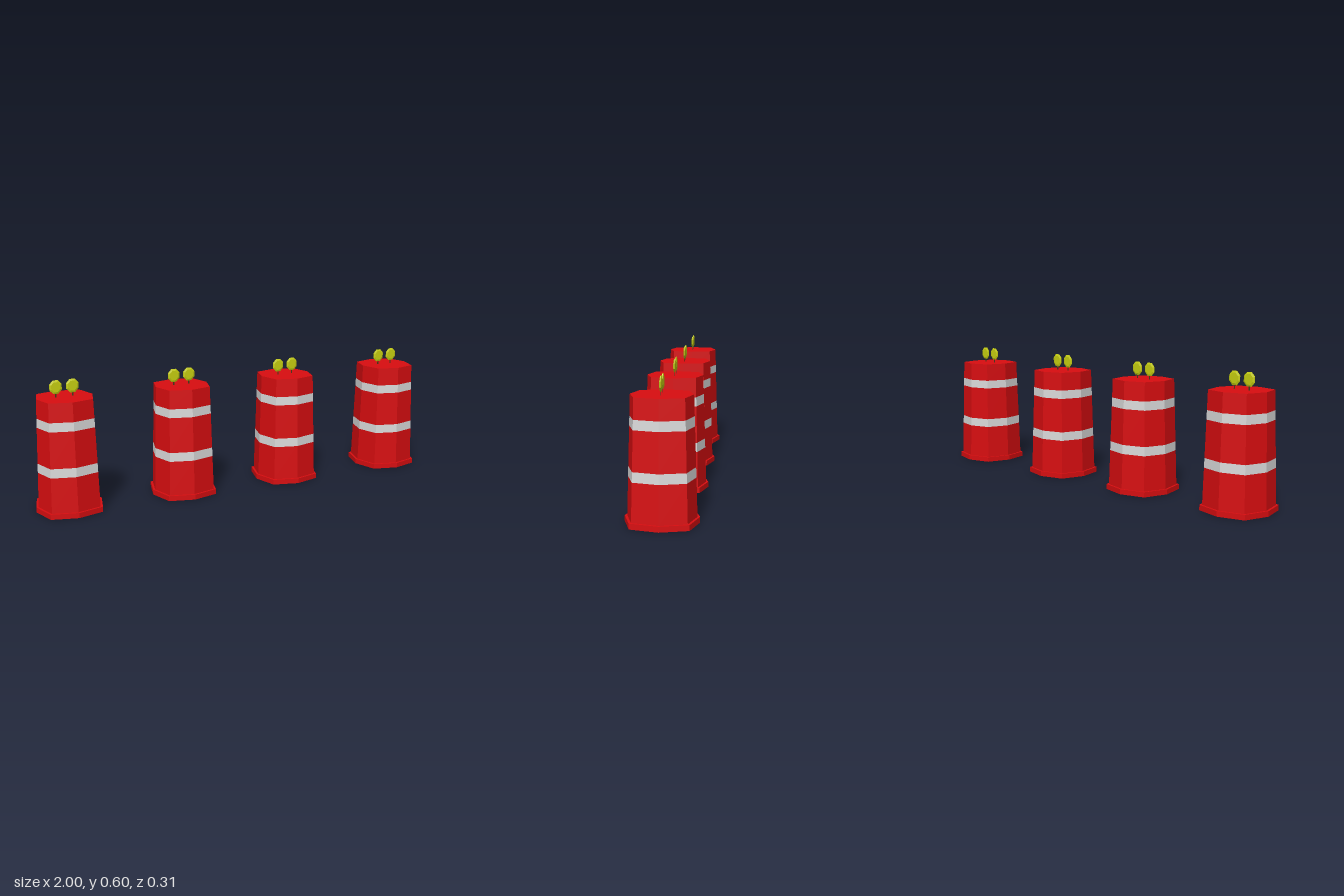
import * as THREE from 'three';

const mat = (name, color) => {
  const m = new THREE.MeshStandardMaterial({ color, flatShading: true });
  m.name = name;
  return m;
};

// Eight-sided frustum whose diagonal corners are pushed out slightly
function octagon(rTop, rBottom, y0, y1, open) {
  const g = new THREE.CylinderGeometry(rTop, rBottom, y1 - y0, 8, 1, open);
  const p = g.attributes.position;
  for (let i = 0; i < p.count; i++) {
    const x = p.getX(i), z = p.getZ(i);
    if (Math.abs(x) > 0.01 && Math.abs(z) > 0.01) {
      p.setX(i, x * 1.11);
      p.setZ(i, z * 1.11);
    }
  }
  g.translate(0, (y0 + y1) / 2, 0);
  g.computeVertexNormals();
  return g;
}

export function createModel() {
  const red = mat('red plastic', 0xd90d10);
  const white = mat('reflective white', 0xdcdcdc);
  const yellow = mat('yellow lamp', 0xc8d010);
  const brown = mat('dark bracket', 0x4a3a18);

  const root = new THREE.Group();
  root.name = 'trafficBarrels';

  const add = (parent, name, geo, material) => {
    const m = new THREE.Mesh(geo, material);
    m.name = name;
    parent.add(m);
    return m;
  };

  // Tapered body cut into red and white sections
  const levels = [0.024, 0.186, 0.228, 0.393, 0.434, 0.521];
  const radius = (y) => 0.1425 - 0.0148 * (y - 0.024) / 0.497;
  const sections = levels.slice(1).map((y1, i) =>
    octagon(radius(y1), radius(levels[i]), levels[i], y1, i < 4));
  const baseGeo = octagon(0.153, 0.153, 0, 0.024, false);

  // Thin lamp disc with bevelled rim, facing front and back
  const lampGeo = new THREE.LatheGeometry([
    [0, -0.0045], [0.022, -0.0045], [0.03, -0.0015],
    [0.03, 0.0015], [0.022, 0.0045], [0, 0.0045],
  ].map(([x, y]) => new THREE.Vector2(x, y)), 8, Math.PI / 8);
  lampGeo.rotateX(Math.PI / 2);
  lampGeo.scale(1, 1.1, 1);
  const stemGeo = new THREE.BoxGeometry(0.006, 0.022, 0.002);

  [-0.848, -0.288, 0.262, 0.847].forEach((x, n) => {
    const barrel = new THREE.Group();
    barrel.name = 'barrel' + (n + 1);
    barrel.position.x = x;
    root.add(barrel);

    add(barrel, 'base', baseGeo, red);
    sections.forEach((geo, i) =>
      add(barrel, i % 2 ? 'reflectiveBand' : 'bodySection', geo, i % 2 ? white : red));

    // Pair of warning lamps on short stems
    for (const s of [-1, 1]) {
      add(barrel, 'lampStem', stemGeo, brown).position.set(s * 0.038, 0.53, 0);
      add(barrel, 'lamp', lampGeo, yellow).position.set(s * 0.038, 0.567, 0);
    }
  });
  return root;
}
